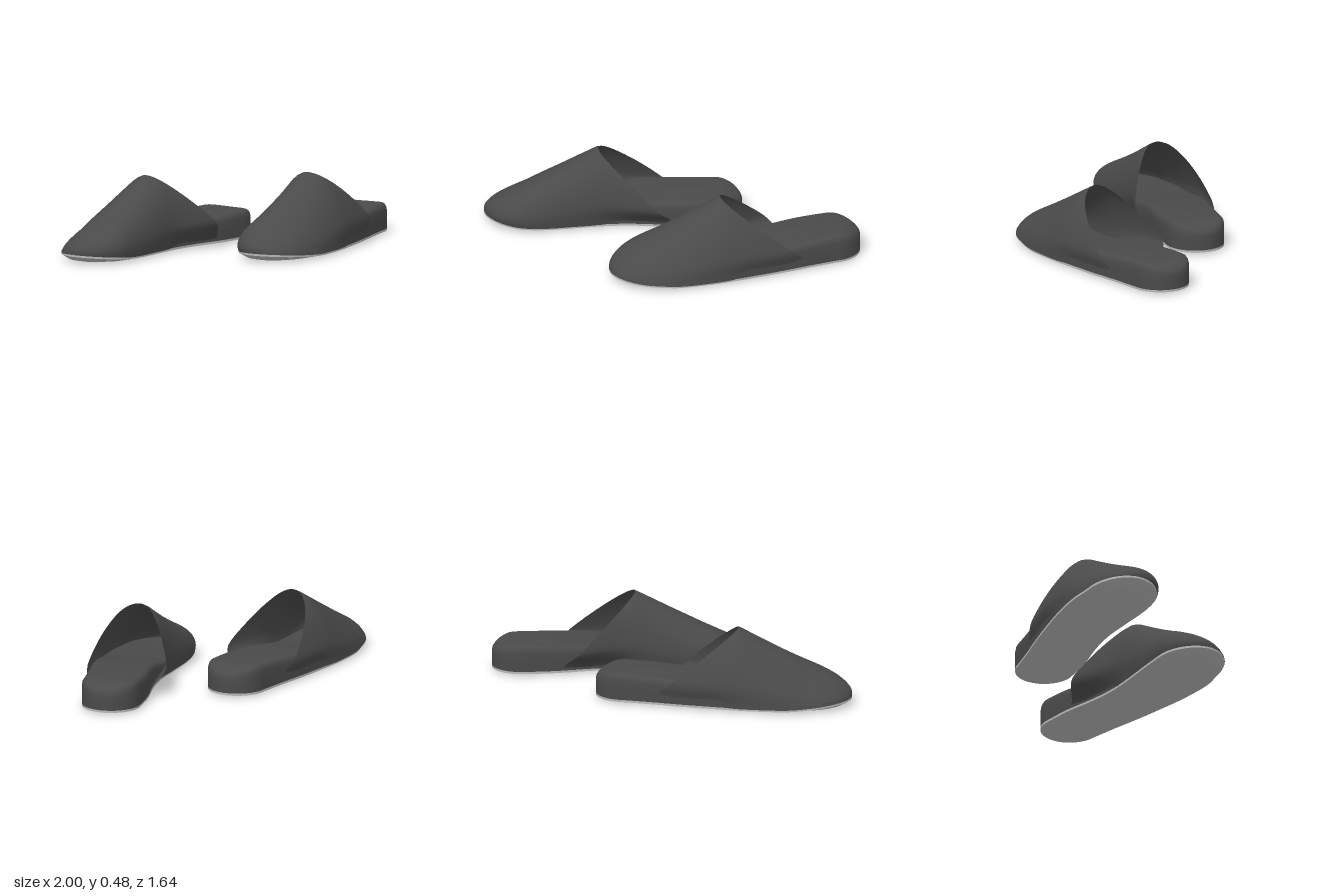
import * as THREE from 'three';
import { toCreasedNormals } from 'three/addons/utils/BufferGeometryUtils.js';

const HEEL = 0.187, BALL = 1.2, TOE = 0.24;   // heel radius, start of toe curve, toe length
const { smoothstep, lerp, clamp } = THREE.MathUtils;

// Smooth curve through [position, value] pairs
function curve(...p) {
  const slope = i => {
    const a = p[Math.max(i - 1, 0)], b = p[Math.min(i + 1, p.length - 1)];
    return (b[1] - a[1]) / (b[0] - a[0]);
  };
  return u => {
    if (u <= p[0][0]) return p[0][1];
    if (u >= p[p.length - 1][0]) return p[p.length - 1][1];
    const i = p.findIndex(q => q[0] > u) - 1;
    const d = p[i + 1][0] - p[i][0], t = (u - p[i][0]) / d, t2 = t * t, t3 = t2 * t;
    return p[i][1] * (2 * t3 - 3 * t2 + 1) + slope(i) * d * (t3 - 2 * t2 + t)
      + p[i + 1][1] * (3 * t2 - 2 * t3) + slope(i + 1) * d * (t3 - t2);
  };
}

// Outer and inner half widths of the sole and upper, measured along the foot
const soleOuter = curve([0, 0.185], [0.2, 0.212], [0.36, 0.238], [0.5, 0.257], [0.8, 0.288], [1.05, 0.29], [1.2, 0.262], [1.44, 0.235]);
const soleInner = curve([0, 0.185], [0.2, 0.18], [0.45, 0.147], [0.65, 0.14], [0.85, 0.16], [1.05, 0.185], [1.2, 0.192], [1.44, 0.172]);
const upperOuter = curve([0.17, 0.232], [0.36, 0.285], [0.73, 0.315], [1.05, 0.306], [1.2, 0.272], [1.44, 0.24]);
const upperInner = curve([0.2, 0.215], [0.36, 0.255], [0.5, 0.216], [0.65, 0.178], [0.8, 0.175], [0.95, 0.185], [1.2, 0.2], [1.44, 0.18]);

// Heights: top of sole, its rim underside, ridge of upper, footbed
const soleTop = curve([0.8, 0.024], [1.1, 0.028], [1.3, 0.045], [1.44, 0.058]);
const soleRim = u => soleTop(u) - 0.014;
const ridge = curve([0.72, 0.48], [0.98, 0.345], [1.23, 0.225], [1.35, 0.18], [1.44, 0.14]);
const footbed = curve([-0.187, 0.15], [-0.08, 0.188], [0, 0.191], [0.2, 0.182], [0.45, 0.165], [0.6, 0.14], [0.85, 0.095], [1.2, 0.07], [1.44, 0.066]);

// Rounding of the heel and toe ends
function cap(u) {
  const x = u < 0 ? u / HEEL : u > BALL ? (u - BALL) / TOE : 0;
  return Math.sqrt(Math.max(0, 1 - x * x));
}

// Sideways position: side is -1 at the outer edge, +1 at the inner edge
function across(u, outer, inner, side) {
  return (inner - outer) / 2 + side * (inner + outer) / 2 * cap(u);
}

// Surface through rows of points; mirrored for the other foot
function skin(rows, mirror, crease) {
  const pos = [], idx = [], n = rows[0].length;
  rows.forEach(r => r.forEach(([x, y, z]) => pos.push(x * mirror, y, z)));
  for (let i = 0; i < rows.length - 1; i++) {
    for (let j = 0; j < n - 1; j++) {
      const a = i * n + j, b = a + 1, c = b + n, d = a + n;
      if (mirror > 0) idx.push(a, b, c, a, c, d);
      else idx.push(a, c, b, a, d, c);
    }
  }
  const g = new THREE.BufferGeometry();
  g.setAttribute('position', new THREE.Float32BufferAttribute(pos, 3));
  g.setIndex(idx);
  if (crease) return toCreasedNormals(g, crease);
  g.computeVertexNormals();
  return g;
}

// Closed foot outline as [u, side]: outer edge to the toe, inner edge back
function outline() {
  const us = [];
  for (let i = 0; i < 16; i++) us.push(-HEEL * Math.cos(i / 16 * Math.PI / 2));
  for (let i = 0; i < 30; i++) us.push(BALL * i / 30);
  for (let i = 0; i <= 18; i++) us.push(BALL + TOE * Math.sin(i / 18 * Math.PI / 2));
  return [...us.map(u => [u, -1]), ...us.reverse().map(u => [u, 1])];
}

// Stack of outlines; each level is [inset toward the spine, height rule]
function stack(levels, mirror, crease) {
  const ring = outline();
  return skin(levels.map(([k, y]) => ring.map(([u, side]) => {
    const s = clamp(u, 0, BALL);
    const x = lerp(across(u, soleOuter(u), soleInner(u), side), (soleInner(s) - soleOuter(s)) / 2, k);
    const z = lerp(u, s, k);
    return [x, y(z), z];
  })), mirror, crease);
}

// Arched vamp with a slanted opening, tucked against the sole at the bottom
function upperGeometry(mirror) {
  const rows = [], R = 44, C = 56;
  for (let i = 0; i <= R; i++) {
    const row = [];
    for (let j = 0; j <= C; j++) {
      const a = Math.PI * j / C, f = Math.max(0, Math.sin(a));
      const start = 0.2 + 0.03 * Math.cos(a);
      const edge = lerp(start, 0.72, Math.pow(f, 1.15));
      const u = lerp(edge, BALL + TOE, Math.sin(i / R * Math.PI / 2));
      const t = smoothstep(f, 0, 0.33);
      // the bottom tucks inside the heel block near the opening
      const tuck = lerp(-0.008, 0.006, smoothstep(u, 0.55, 0.8));
      const outer = lerp(soleOuter(u) + tuck, upperOuter(u), t);
      const inner = lerp(soleInner(u) + tuck, upperInner(u), t);
      const base = soleTop(u) - 0.002;
      const y = base + (ridge(u) - base) * Math.pow(f, 1.04) * Math.pow(cap(u), 0.6);
      // the ridge leans toward the inner side
      row.push([across(u, outer, inner, Math.cos(a)) + 0.05 * f * cap(u), y, u]);
    }
    rows.push(row);
  }
  return skin(rows, mirror);
}

function slipper(name, mirror) {
  const dark = new THREE.MeshStandardMaterial({ color: 0x4a4a4a });
  const thin = new THREE.MeshStandardMaterial({ color: 0x4a4a4a, side: THREE.DoubleSide });
  const grey = new THREE.MeshStandardMaterial({ color: 0xb8b8b8 });
  const group = new THREE.Group();
  group.name = name;
  const add = (part, geometry, material) => {
    const mesh = new THREE.Mesh(geometry, material);
    mesh.name = part;
    group.add(mesh);
    return mesh;
  };
  // Thin sole, flat on the ground with the rim curving up at the toe
  const flat = () => 0, curl = u => 0.35 * soleRim(u);
  add('sole', stack([[1, flat], [0.5, flat], [0.2, curl], [0, soleRim], [0, soleTop], [1, soleTop]], mirror, 0.7), grey);

  // Heel block and footbed with a rounded rim
  const part = f => u => lerp(soleTop(u), footbed(u), f);
  const levels = [[0, part(0)], [0, part(0.4)], [0, part(0.72)], [0.025, part(0.86)], [0.08, part(0.95)], [0.16, part(0.99)]];
  for (const k of [0.26, 0.4, 0.55, 0.7, 0.85, 1]) levels.push([k, part(1)]);
  add('footbed', stack(levels, mirror, 1), dark);

  // Shallow raised cushion under the heel
  const pad = add('heelPad', new THREE.SphereGeometry(1, 32, 16), dark);
  pad.scale.set(0.11, 0.012, 0.22);
  pad.position.set(-0.01 * mirror, 0.174, 0.24);
  pad.rotation.x = 0.07;

  add('upper', upperGeometry(mirror), thin);
  return group;
}

export function createModel() {
  const model = new THREE.Group();
  model.name = 'slippers';
  const right = slipper('rightSlipper', 1);
  right.position.set(-0.035, 0, -0.36);
  right.rotation.y = -0.637;
  const left = slipper('leftSlipper', -1);
  left.position.set(0.812, 0, -0.632);
  left.rotation.y = -0.433;
  model.add(right, left);
  return model;
}
